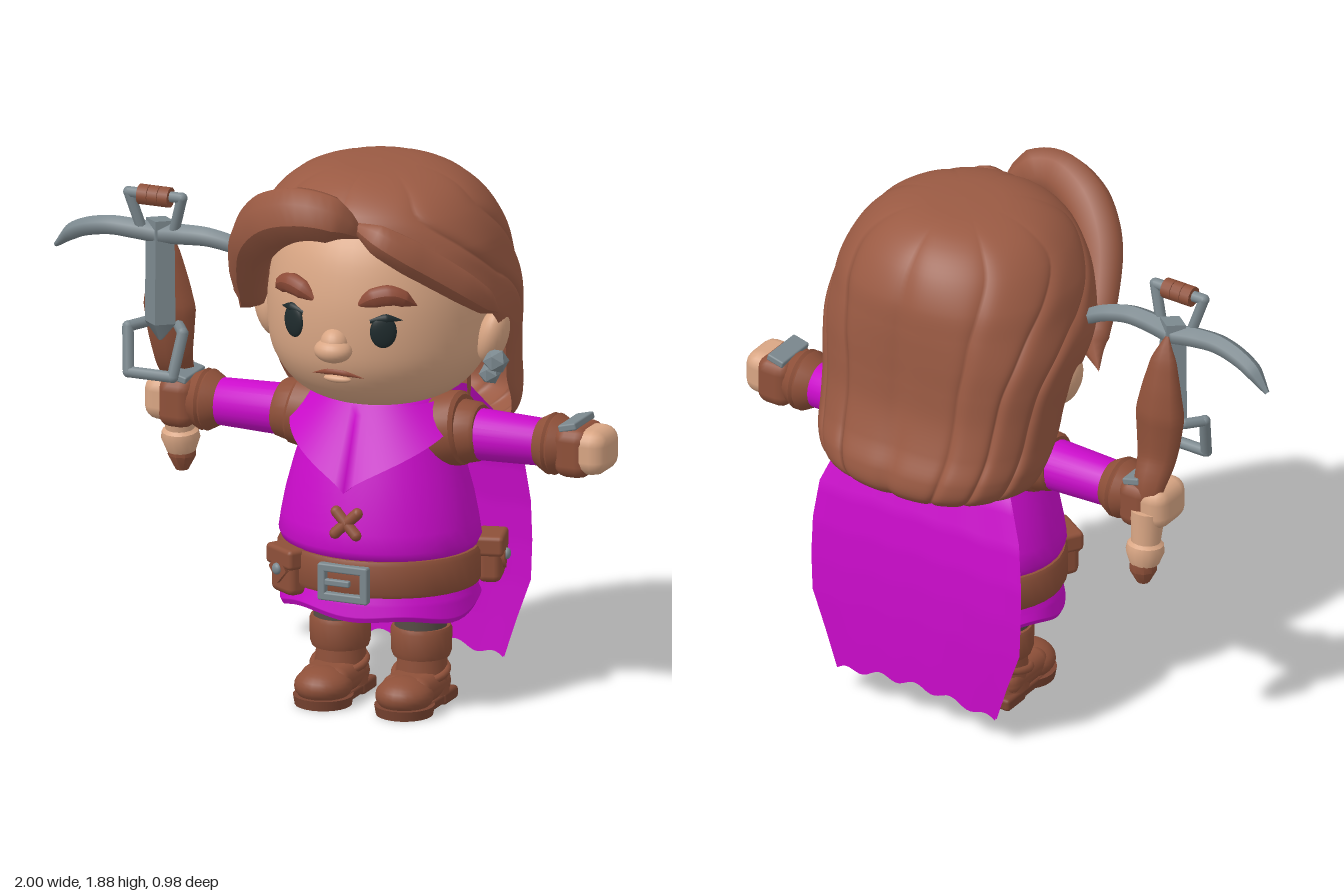
import * as THREE from 'three';
import { ParametricGeometry } from 'three/addons/geometries/ParametricGeometry.js';
import { RoundedBoxGeometry } from 'three/addons/geometries/RoundedBoxGeometry.js';
import { toCreasedNormals } from 'three/addons/utils/BufferGeometryUtils.js';

const material = (name, color, side = THREE.FrontSide) => {
  const m = new THREE.MeshStandardMaterial({ color, side });
  m.name = name;
  return m;
};
const V = (x, y, z) => new THREE.Vector3(x, y, z);

// Linear lookup in a list of numbers, t from 0 to 1
function pick(list, t) {
  const f = Math.min(t, 1) * (list.length - 1), i = Math.min(Math.floor(f), list.length - 2);
  return list[i] + (list[i + 1] - list[i]) * (f - i);
}

// Smooth lookup in a list of rows, t from 0 to 1
function smoothRow(rows, t) {
  const n = rows.length - 1, f = Math.min(t, 1) * n, i = Math.min(Math.floor(f), n - 1), k = f - i;
  return rows[i].map((b, j) => {
    const c = rows[i + 1][j], a = i > 0 ? rows[i - 1][j] : b, d = i + 2 <= n ? rows[i + 2][j] : c;
    return b + 0.5 * k * (c - a + k * (2 * a - 5 * b + 4 * c - d + k * (3 * (b - c) + d - a)));
  });
}

// Tapered tube along a smooth path, with its section squashed by axis
function sweep(points, radii, sides = 12, squash = [1, 1, 1], steps = 32) {
  const curve = new THREE.CatmullRomCurve3(points.map(p => V(...p)));
  const g = new THREE.TubeGeometry(curve, steps, 1, sides);
  const pos = g.attributes.position, v = V(0, 0, 0);
  for (let i = 0; i < pos.count; i++) {
    const t = Math.floor(i / (sides + 1)) / steps, c = curve.getPointAt(t), r = pick(radii, t);
    v.fromBufferAttribute(pos, i).sub(c).multiply(V(...squash)).multiplyScalar(r).add(c);
    pos.setXYZ(i, v.x, v.y, v.z);
  }
  g.computeVertexNormals();
  return g;
}

// Straight round bar between two points
function bar(a, b, r) {
  const p = V(...a), q = V(...b), d = q.clone().sub(p);
  const turn = new THREE.Quaternion().setFromUnitVectors(V(0, 1, 0), d.clone().normalize());
  const mid = p.add(q).multiplyScalar(0.5);
  return new THREE.CapsuleGeometry(r, d.length(), 3, 8).applyQuaternion(turn).translate(mid.x, mid.y, mid.z);
}

const lathe = (rows, zScale = 1, seg = 40) =>
  toCreasedNormals(new THREE.LatheGeometry(rows.map(p => new THREE.Vector2(...p)), seg).scale(1, 1, zScale), 0.7);
const ball = (x, y, z) => new THREE.SphereGeometry(1, 24, 16).scale(x, y, z);
const box = (x, y, z, r = 0.015) => new RoundedBoxGeometry(x, y, z, 2, r);

export function createModel() {
  const model = new THREE.Group();
  const skin = material('skin', 0xd9a684);
  const hair = material('hair brown', 0x9a5a43, THREE.DoubleSide);
  const leather = material('leather brown', 0x8e5039);
  const sole = material('dark sole', 0x7a4431);
  const cloth = material('magenta cloth', 0xcb0bcb, THREE.DoubleSide);
  const metal = material('grey metal', 0x7b888e);
  const trousers = material('dark trousers', 0x574d46);
  const eyeDark = material('eye dark', 0x1f2b2d);
  const brow = material('brow red brown', 0x8f4c38);

  const body = new THREE.Group();
  body.name = 'body';
  body.position.x = 0.155;
  model.add(body);
  const add = (name, geo, mat, p = [0, 0, 0], r = [0, 0, 0], parent = body) => {
    const m = new THREE.Mesh(geo, mat);
    m.name = name;
    m.position.set(...p);
    m.rotation.set(...r);
    parent.add(m);
  };

  // Head and face
  const headShape = new THREE.SplineCurve([[0, 1.06], [0.16, 1.068], [0.28, 1.12], [0.355, 1.22], [0.378, 1.34],
    [0.37, 1.5], [0.32, 1.66], [0.2, 1.78], [0, 1.82]].map(p => new THREE.Vector2(...p)));
  add('head', new THREE.LatheGeometry(headShape.getPoints(40).map(p => p.setX(Math.max(p.x, 0))), 48).scale(1, 1, 1.04), skin);
  add('nose', ball(0.066, 0.042, 0.055), skin, [0, 1.318, 0.4]);
  add('nose bridge', ball(0.048, 0.05, 0.045), skin, [0, 1.342, 0.39], [-0.5, 0, 0]);
  add('mouth', sweep([[-0.095, 1.218, 0.357], [-0.03, 1.234, 0.373], [0.03, 1.234, 0.373], [0.095, 1.218, 0.357]],
    [0, 0.011, 0.011, 0], 8), brow);
  add('lower lip', ball(0.05, 0.014, 0.02), skin, [0, 1.21, 0.364]);
  for (const s of [-1, 1]) {
    add('eye', ball(0.045, 0.057, 0.016), eyeDark, [s * 0.163, 1.39, 0.354], [0, s * 0.45, 0]);
    add('eyelash', sweep([[s * 0.12, 1.425, 0.366], [s * 0.17, 1.435, 0.35], [s * 0.222, 1.428, 0.322]],
      [0.009, 0.016, 0], 8), eyeDark);
    add('eyebrow', sweep([[s * 0.08, 1.478, 0.37], [s * 0.13, 1.505, 0.36], [s * 0.19, 1.513, 0.335], [s * 0.26, 1.475, 0.29]],
      [0.012, 0.034, 0.037, 0.03, 0], 10, [1, 1, 0.7]), brow);
    add('ear', ball(0.05, 0.1, 0.065), skin, [s * 0.405, 1.31, -0.005], [0, 0, -s * 0.25]);
  }
  add('earring', new THREE.IcosahedronGeometry(0.045), metal, [0.435, 1.235, 0.04]);
  add('earring drop', new THREE.IcosahedronGeometry(0.038), metal, [0.415, 1.19, 0.045]);

  // Hair: open rings (y, half width, back, front, opening angle, squareness) with strand grooves
  const rings = [[1.878, 0, 0, 0, 180, 1], [1.868, 0.16, 0.16, 0.17, 180, 1], [1.83, 0.275, 0.26, 0.28, 180, 1],
    [1.76, 0.355, 0.335, 0.36, 178, 0.96], [1.66, 0.41, 0.385, 0.38, 152, 0.9], [1.56, 0.435, 0.4, 0.38, 126, 0.84],
    [1.46, 0.455, 0.405, 0.37, 106, 0.78], [1.36, 0.455, 0.408, 0.37, 92, 0.74], [1.25, 0.444, 0.418, 0.37, 87, 0.71],
    [1.14, 0.435, 0.45, 0.37, 85, 0.7], [1.05, 0.43, 0.488, 0.37, 80, 0.72], [0.98, 0.41, 0.485, 0.37, 74, 0.76],
    [0.935, 0.35, 0.42, 0.37, 69, 0.82], [0.95, 0.29, 0.33, 0.3, 68, 0.9], [1.2, 0.3, 0.3, 0.3, 78, 1]];
  add('hair', new ParametricGeometry((u, v, out) => {
    const [y, w, back, front, open, square] = smoothRow(rings, v);
    const a = (u * 2 - 1) * open * Math.PI / 180, s = Math.sin(a), c = Math.cos(a);
    const soft = n => Math.sign(n) * Math.abs(n) ** square;
    const groove = 1 - 0.028 * Math.min(1, v * 8) * (1 - Math.abs(Math.sin(Math.PI * u * 8))) ** 3;
    out.set(w * soft(s) * groove, y, -soft(c) * (c > 0 ? back : front) * groove);
  }, 128, 70), hair);
  add('forelock', sweep([[0.08, 1.71, 0.35], [0.02, 1.76, 0.39], [-0.08, 1.785, 0.42], [-0.21, 1.75, 0.39], [-0.32, 1.65, 0.32],
    [-0.385, 1.51, 0.22], [-0.415, 1.4, 0.14], [-0.48, 1.32, 0.08]],
    [0.01, 0.085, 0.098, 0.1, 0.092, 0.08, 0.07, 0.06, 0], 8, [1, 1, 0.75], 40), hair);
  add('side lock', sweep([[0.05, 1.75, 0.36], [0.17, 1.7, 0.365], [0.29, 1.61, 0.28], [0.39, 1.51, 0.17], [0.455, 1.4, 0.03]],
    [0.01, 0.06, 0.068, 0.066, 0.062, 0.05, 0], 8, [0.8, 1, 0.8]), hair);

  // Tunic, skirt with an uneven hem, collar and stitched cross
  add('tunic', lathe([[0.3, 0.54], [0.337, 0.565], [0.347, 0.59], [0.338, 0.65], [0.322, 0.73], [0.295, 0.83], [0.26, 0.94],
    [0.232, 1.03], [0.21, 1.08], [0.15, 1.12]], 0.86), cloth, [0, 0, 0.01]);
  add('skirt', new ParametricGeometry((u, v, out) => {
    const a = u * Math.PI * 2, r = pick([0.32, 0.322, 0.335, 0.345, 0.335, 0.28, 0], v);
    const low = 0.346 - 0.012 * Math.cos(5 * a) + 0.01 * Math.sin(3 * a + 1);
    out.set(-r * Math.sin(a), pick([0.5, 0.45, 0.41, low + 0.02, low, low + 0.025, 0.4], v), r * 0.84 * Math.cos(a) + 0.008);
  }, 64, 24), cloth);
  add('collar', new ParametricGeometry((u, v, out) => {
    const k = u * 2 - 1, a = k * 1.5, tip = 0.795 + 0.23 * Math.abs(k) ** 0.75, t = Math.min(v / 0.8, 1);
    const r = 0.215 + 0.122 * t * (1 - 0.5 * Math.abs(k)) - (v > 0.8 ? 0.06 : 0);
    out.set(-r * Math.sin(a) * 1.08, 1.075 + (tip - 1.075) * t, r * Math.cos(a) * 0.94);
  }, 32, 10), cloth);
  for (const s of [-1, 1])
    add('cross stitch', new THREE.CapsuleGeometry(0.02, 0.105, 4, 10), leather, [0, 0.685, 0.292], [-0.15, 0, s * 0.8]);

  // Cape: two close sheets with a ragged lower edge
  for (const gap of [0, 0.01])
    add('cape', new ParametricGeometry((u, v, out) => {
      const k = u * 2 - 1, w = pick([0.24, 0.34, 0.395, 0.412, 0.415, 0.41, 0.36, 0.315], v);
      const low = 0.135 - 0.04 * k * k + 0.012 * Math.cos(k * 14);
      const z = pick([-0.18, -0.25, -0.285, -0.3, -0.305, -0.305, -0.303, -0.3], v);
      out.set(k * w, 1.07 + (low - 1.07) * v, z - gap + 0.01 * k * k);
    }, 40, 21), cloth);

  // Belt, buckle and pouches
  add('belt', lathe([[0.31, 0.435], [0.342, 0.435], [0.35, 0.45], [0.35, 0.545], [0.342, 0.56], [0.31, 0.56]], 0.85), leather, [0, 0, 0.012]);
  for (const s of [-1, 1]) {
    add('buckle bar', box(0.18, 0.028, 0.03, 0.006), metal, [0, 0.482 + s * 0.05, 0.313]);
    add('buckle post', box(0.028, 0.125, 0.03, 0.006), metal, [s * 0.077, 0.482, 0.313]);
  }
  add('buckle prong', box(0.09, 0.022, 0.02, 0.005), metal, [-0.02, 0.482, 0.318]);
  const pouch = (x, y, z, turn) => {
    const g = new THREE.Group();
    g.name = 'pouch';
    g.position.set(x, y, z);
    g.rotation.y = turn;
    body.add(g);
    add('pouch bag', box(0.125, 0.14, 0.08, 0.025), leather, [0, -0.02, 0], [0, 0, 0], g);
    add('pouch flap', box(0.145, 0.07, 0.1, 0.015), leather, [0, 0.04, 0], [0, 0, 0], g);
    add('pouch flap tip', new THREE.CylinderGeometry(0.05, 0.05, 0.02, 4), leather, [0, 0.0, 0.04], [Math.PI / 2, 0, 0], g);
    add('pouch stud', ball(0.02, 0.02, 0.014), metal, [0, 0, 0.052], [0, 0, 0], g);
  };
  pouch(-0.235, 0.49, 0.228, -0.55);
  pouch(0.352, 0.515, -0.11, 1.85);

  for (const s of [-1, 1]) {
    // Legs and boots
    const leg = new THREE.Group();
    leg.name = 'leg';
    leg.position.x = s * 0.148;
    body.add(leg);
    const put = (n, g, m, p, r) => add(n, g, m, p, r, leg);
    put('trouser leg', new THREE.CylinderGeometry(0.092, 0.088, 0.22, 24), trousers, [0, 0.36, 0.01]);
    put('boot cuff', lathe([[0.07, 0.17], [0.095, 0.17], [0.102, 0.19], [0.104, 0.26], [0.098, 0.275], [0.07, 0.275]], 1, 24), leather, [0, 0, 0.005]);
    put('boot shaft', new THREE.CylinderGeometry(0.082, 0.092, 0.15, 24), leather, [0, 0.115, 0]);
    put('boot strap', new THREE.TorusGeometry(0.088, 0.014, 8, 24), leather, [0, 0.115, 0.01], [Math.PI / 2 + 0.25, 0, 0]);
    put('boot foot', box(0.18, 0.1, 0.24, 0.045), leather, [0, 0.075, 0.05]);
    put('boot toe', ball(0.098, 0.062, 0.1), leather, [0, 0.066, 0.145]);
    put('toe sole', new THREE.CylinderGeometry(0.102, 0.096, 0.034, 24), sole, [0, 0.017, 0.145]);
    put('instep sole', box(0.17, 0.034, 0.16, 0.01), sole, [0, 0.022, 0.06]);
    put('heel', box(0.18, 0.045, 0.11, 0.012), sole, [0, 0.0225, -0.045]);

    // Arms reach straight out to the sides
    const arm = new THREE.Group();
    arm.name = 'arm';
    arm.position.y = 0.96;
    arm.rotation.y = s < 0 ? Math.PI : 0;
    body.add(arm);
    const tube = (n, x0, x1, r0, r1, m, tilt = 0) =>
      add(n, lathe([[0, 0], [r0 * 0.9, 0], [r0, 0.012], [r1, x1 - x0 - 0.012], [r1 * 0.9, x1 - x0], [0, x1 - x0]], 1, 24),
        m, [x0, 0, 0], [0, 0, -Math.PI / 2 + tilt], arm);
    tube('sleeve', 0.12, 0.6, 0.095, 0.08, cloth);
    tube('shoulder band', 0.2, 0.31, 0.13, 0.125, leather, 0.15);
    tube('upper arm band', 0.27, 0.37, 0.112, 0.1, leather, 0.1);
    tube('glove cuff', 0.575, 0.635, 0.085, 0.105, leather);
    tube('glove cuff taper', 0.63, 0.7, 0.105, 0.082, leather);
    add('glove hand', box(0.13, 0.175, 0.19, 0.045), leather, [0.722, -0.005, 0], [0, 0, 0], arm);
    add('fist', box(0.13, 0.155, 0.175, 0.05), skin, [0.779, 0, 0.005], [0, 0, 0], arm);
    add('glove plate', box(0.065, 0.025, 0.16, 0.006), metal, [0.71, 0.085, 0], [0, 0, 0.25], arm);
  }

  // Crossbow held upright in the right hand
  const bow = new THREE.Group();
  bow.name = 'crossbow';
  bow.position.x = -0.608;
  model.add(bow);
  const fit = (n, g, m, p, r) => add(n, g, m, p, r, bow);
  fit('stock', sweep([[0, 0.9, -0.06], [0, 1.02, -0.05], [0, 1.12, 0], [0, 1.37, 0.03], [0, 1.5, 0.05], [0, 1.57, 0.07]],
    [0.04, 0.055, 0.07, 0.085, 0.096, 0.075, 0.05, 0], 8, [1, 1, 0.65]), leather);
  fit('grip', lathe([[0, 0], [0.05, 0.005], [0.066, 0.05], [0.062, 0.075], [0.05, 0.085], [0.06, 0.2], [0, 0.21]], 1, 16), skin,
    [0, 0.745, -0.075], [0.12, 0, 0]);
  fit('grip cap', lathe([[0, 0], [0.022, 0.005], [0.048, 0.055], [0.045, 0.085], [0, 0.09]], 1, 10), leather, [0, 0.675, -0.08]);
  fit('rail', toCreasedNormals(new THREE.CylinderGeometry(0.052, 0.056, 0.36, 4).scale(1, 1, 0.75), 0.5), metal, [0, 1.42, 0.1]);
  fit('rail tip', new THREE.CylinderGeometry(0.056, 0.008, 0.06, 4).scale(1, 1, 0.75), metal, [0, 1.21, 0.1]);
  for (const s of [-1, 1]) {
    fit('bow limb', sweep([[0, 1.55, 0.1], [s * 0.1, 1.56, 0.11], [s * 0.19, 1.56, 0.11], [s * 0.31, 1.525, 0.095], [s * 0.39, 1.458, 0.08]],
      [0.036, 0.036, 0.034, 0.032, 0.028, 0.008], 6, [1, 1, 1.1]), metal);
    fit('stirrup side', bar([s * 0.06, 1.57, 0.12], [s * 0.097, 1.695, 0.14], 0.019), metal);
    fit('cocking loop end', bar([s * 0.06, 1.23, 0.08], [s * 0.1, 1.225, 0.14], 0.019), metal);
    fit('cocking loop side', bar([s * 0.1, 1.225, 0.14], [s * 0.08, 1.08, 0.18], 0.02), metal);
  }
  fit('stirrup top', bar([-0.097, 1.695, 0.14], [0.097, 1.695, 0.14], 0.019), metal);
  fit('cocking loop bar', bar([-0.08, 1.08, 0.18], [0.08, 1.08, 0.18], 0.02), metal);
  for (const i of [-1, 0, 1])
    fit('stirrup wrap', new THREE.CylinderGeometry(0.035, 0.035, 0.036, 12), leather, [i * 0.038, 1.692, 0.14], [0, 0, Math.PI / 2]);

  return model;
}
